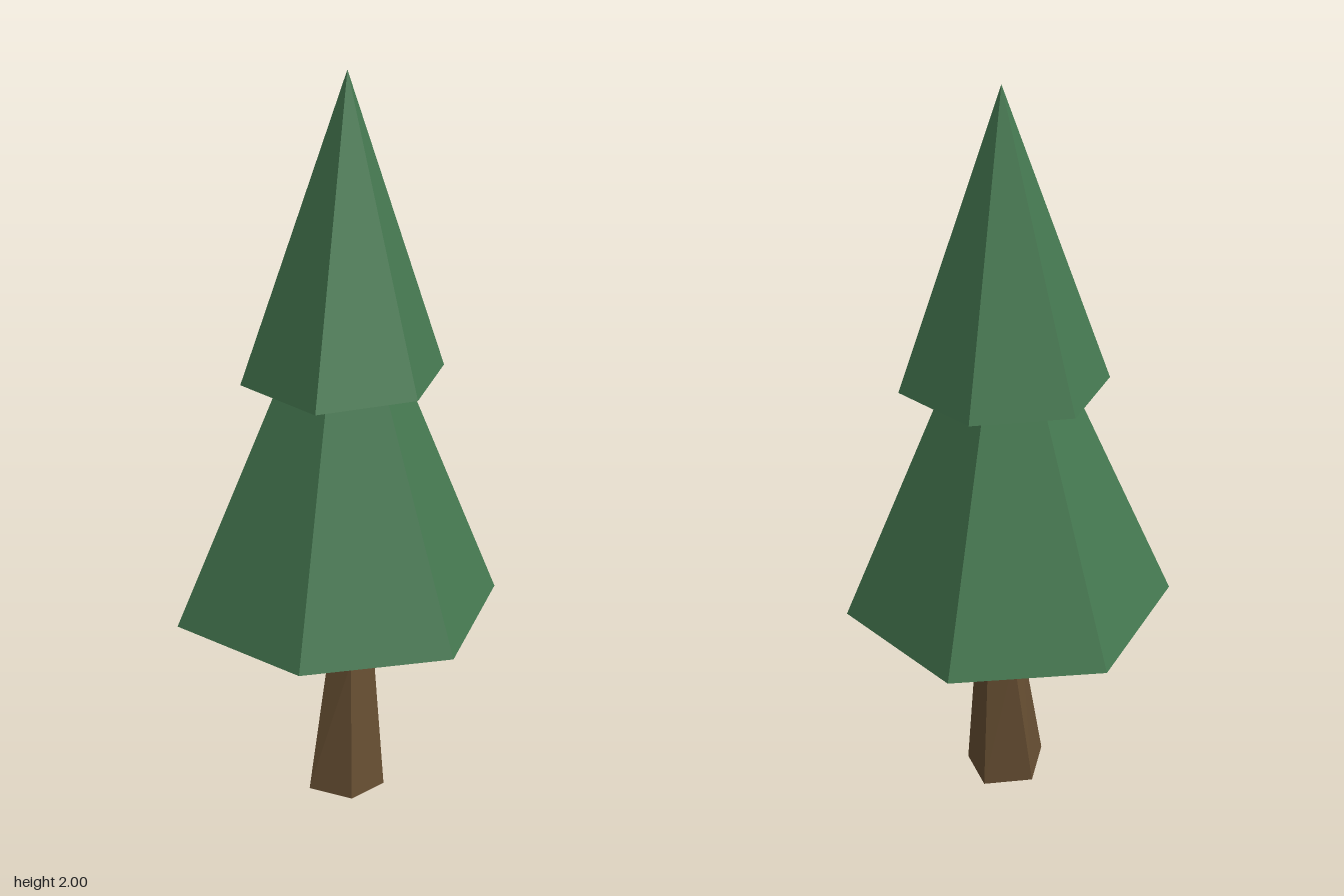
import * as THREE from 'three';

// Faceted closed solid through rings of [x, y, z] corners, ordered clockwise seen from above.
// A ring with a single corner is a tip.
function loft(rings) {
  const pts = [];
  const tri = (a, b, c) => [a, b, c].forEach((p) => pts.push(new THREE.Vector3(...p)));
  const cap = (ring, up) => {
    for (let i = 1; i < ring.length - 1; i++) {
      if (up) tri(ring[0], ring[i + 1], ring[i]);
      else tri(ring[0], ring[i], ring[i + 1]);
    }
  };
  for (let r = 0; r < rings.length - 1; r++) {
    const lo = rings[r], hi = rings[r + 1], n = lo.length;
    for (let i = 0; i < n; i++) {
      const j = (i + 1) % n;
      if (hi.length === 1) {
        tri(lo[j], lo[i], hi[0]);
      } else {
        tri(lo[j], lo[i], hi[i]);
        tri(lo[j], hi[i], hi[j]);
      }
    }
  }
  cap(rings[0], false);
  cap(rings[rings.length - 1], true);
  const geometry = new THREE.BufferGeometry().setFromPoints(pts);
  geometry.computeVertexNormals();
  return geometry;
}

// Lift a flat [x, z] outline to a height
const ringAt = (y, outline) => outline.map(([x, z]) => [x, y, z]);

export function createModel() {
  const tree = new THREE.Group();
  tree.name = 'pineTree';

  const needleGreen = new THREE.MeshStandardMaterial({ color: 0x457850, flatShading: true });
  needleGreen.name = 'needleGreen';
  const barkBrown = new THREE.MeshStandardMaterial({ color: 0x664e32, flatShading: true });
  barkBrown.name = 'barkBrown';

  const add = (name, rings, material) => {
    const mesh = new THREE.Mesh(loft(rings), material);
    mesh.name = name;
    tree.add(mesh);
  };

  // Five-sided trunk, flared at a slightly tilted foot
  add('trunk', [
    [[0.005, 0.01, -0.1], [0.115, 0, -0.02], [0.075, 0.005, 0.105], [-0.055, 0.015, 0.105], [-0.105, 0.02, -0.01]],
    ringAt(0.41, [[0.035, -0.055], [0.09, -0.01], [0.075, 0.062], [-0.015, 0.062], [-0.035, -0.005]]),
    ringAt(0.62, [[0.035, -0.043], [0.088, -0.005], [0.07, 0.058], [0, 0.058], [-0.018, -0.003]]),
  ], barkBrown);

  // Wide lower tier of branches
  add('lowerFoliage', [
    ringAt(0.56, [[0.025, -0.42], [0.37, -0.2], [0.385, 0.23], [-0.01, 0.42], [-0.345, 0.197], [-0.385, -0.22]]),
    [[0.02, 1.61, 0]],
  ], needleGreen);

  // Narrow upper tier with the tip
  add('upperFoliage', [
    ringAt(1.22, [[0.005, -0.257], [0.235, -0.125], [0.258, 0.135], [0.01, 0.265], [-0.237, 0.152], [-0.22, -0.133]]),
    [[0.024, 2, 0.007]],
  ], needleGreen);

  return tree;
}
